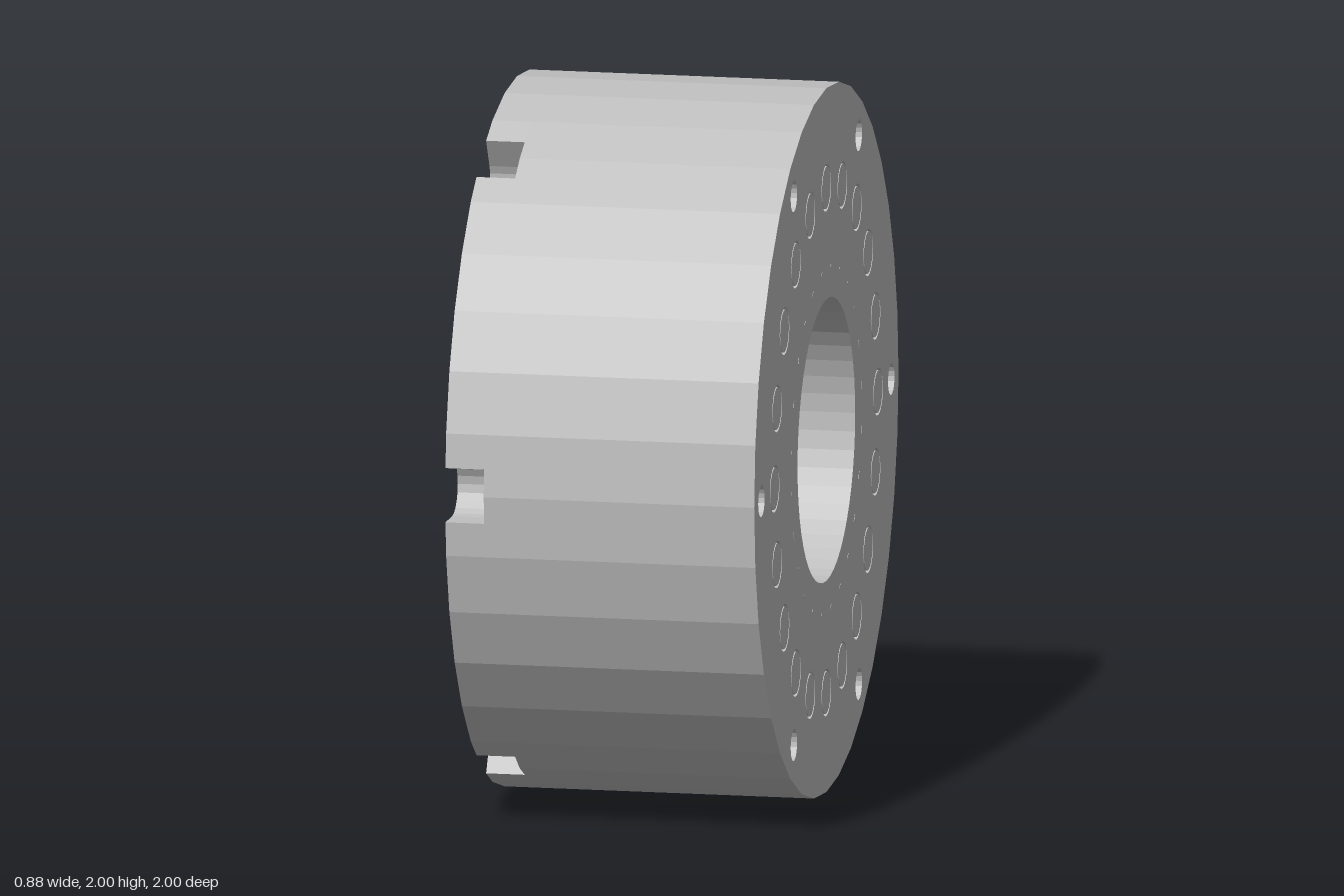
import * as THREE from 'three';

const TAU = Math.PI * 2;
const polar = (r, a) => new THREE.Vector2(r * Math.cos(a), r * Math.sin(a));

// Closed loop of points from a radius rule
function loop(n, radius) {
  return Array.from({ length: n }, (_, i) => polar(radius((i / n) * TAU), (i / n) * TAU));
}
function circle(r, n = 48, c = new THREE.Vector2()) {
  return loop(n, () => r).map((p) => p.add(c));
}
// A ring of evenly spaced round holes
function holeRing(count, ringRadius, r, n = 20) {
  return Array.from({ length: count }, (_, i) => circle(r, n, polar(ringRadius, (i / count) * TAU)));
}
// Radius of a disc of radius R cut by round scallops centred at distance c
function scalloped(R, c, r, count, start) {
  const step = TAU / count;
  return (a) => {
    const d = a - start - Math.round((a - start) / step) * step;
    const h = r * r - (c * Math.sin(d)) ** 2;
    return h > 0 ? Math.min(R, c * Math.cos(d) - Math.sqrt(h)) : R;
  };
}

export function createModel() {
  const group = new THREE.Group();
  const grey = new THREE.MeshStandardMaterial({ color: 0xbfbfbf });
  grey.name = 'metal grey';

  // Extrudes an outline along the wheel axis between x0 and x1
  function layer(name, outline, holes, x0, x1) {
    const shape = new THREE.Shape(outline);
    shape.holes = holes.map((h) => new THREE.Path(h));
    const geo = new THREE.ExtrudeGeometry(shape, { depth: x1 - x0, bevelEnabled: false });
    geo.translate(0, 0, x0).rotateY(Math.PI / 2).translate(0, 1, 0);
    const mesh = new THREE.Mesh(geo, grey);
    mesh.name = name;
    group.add(mesh);
  }

  // Drum, with bolt holes right through it
  const rim = circle(1, 36);
  const bolts = holeRing(6, 0.9, 0.045);
  layer('drum', rim, [circle(0.4), ...bolts], -0.33, 0.42);

  // Face plate with sockets for the pins
  layer('facePlate', rim, [circle(0.4), ...bolts, ...holeRing(20, 0.717, 0.067, 24)], 0.42, 0.44);
  for (let i = 0; i < 20; i++) {
    layer('pin', circle(0.06, 24, polar(0.717, (i / 20) * TAU)), [], 0.41, 0.44);
  }

  // Back plate with six round-ended slots in its rim
  const outline = [];
  const w = 0.077;
  for (let k = 0; k < 6; k++) {
    const turn = (k * TAU) / 6;
    const add = (x, y) => outline.push(new THREE.Vector2(x, y).rotateAround(new THREE.Vector2(), turn));
    add(0.993, -w);
    for (let i = 0; i <= 10; i++) {
      const a = -Math.PI / 2 - (i / 10) * Math.PI;
      add(0.9 + w * Math.cos(a), w * Math.sin(a));
    }
    add(0.993, w);
    for (let i = 1; i <= 5; i++) outline.push(polar(1, turn + (i * TAU) / 36));
  }
  layer('backPlate', outline, [circle(0.43)], -0.44, -0.33);

  // Scalloped collar lining the rear of the bore
  const lobes = loop(144, (a) => 0.365 + 0.022 * Math.abs(Math.cos(6 * a)));
  layer('collar', circle(0.4), [lobes], -0.31, 0);

  // Web with six openings around its edge
  const start = (25 * Math.PI) / 180;
  layer('webFront', loop(180, scalloped(0.399, 0.4, 0.085, 6, start)), [circle(0.302)], 0.16, 0.26);
  layer('webBack', loop(180, scalloped(0.399, 0.425, 0.07, 6, start)), [circle(0.18)], 0.0, 0.16);

  // Bearing and hub around the shaft hole
  const bore = loop(48, (a) => 0.123 + 0.009 * Math.cos(4 * a));
  layer('bearing', circle(0.294), [circle(0.192)], -0.07, 0.252);
  layer('hub', circle(0.185), [bore], -0.2, 0.26);

  // Small marks in a circle on the face
  for (let i = 0; i < 24; i++) {
    const a = ((i + 0.5) / 24) * TAU;
    const mark = new THREE.Mesh(new THREE.BoxGeometry(0.004, 0.006, 0.022), grey);
    const p = polar(0.488, a);
    mark.position.set(0.439, 1 + p.y, -p.x);
    mark.rotation.x = a - Math.PI / 2;
    mark.name = 'faceMark';
    group.add(mark);
  }
  return group;
}
